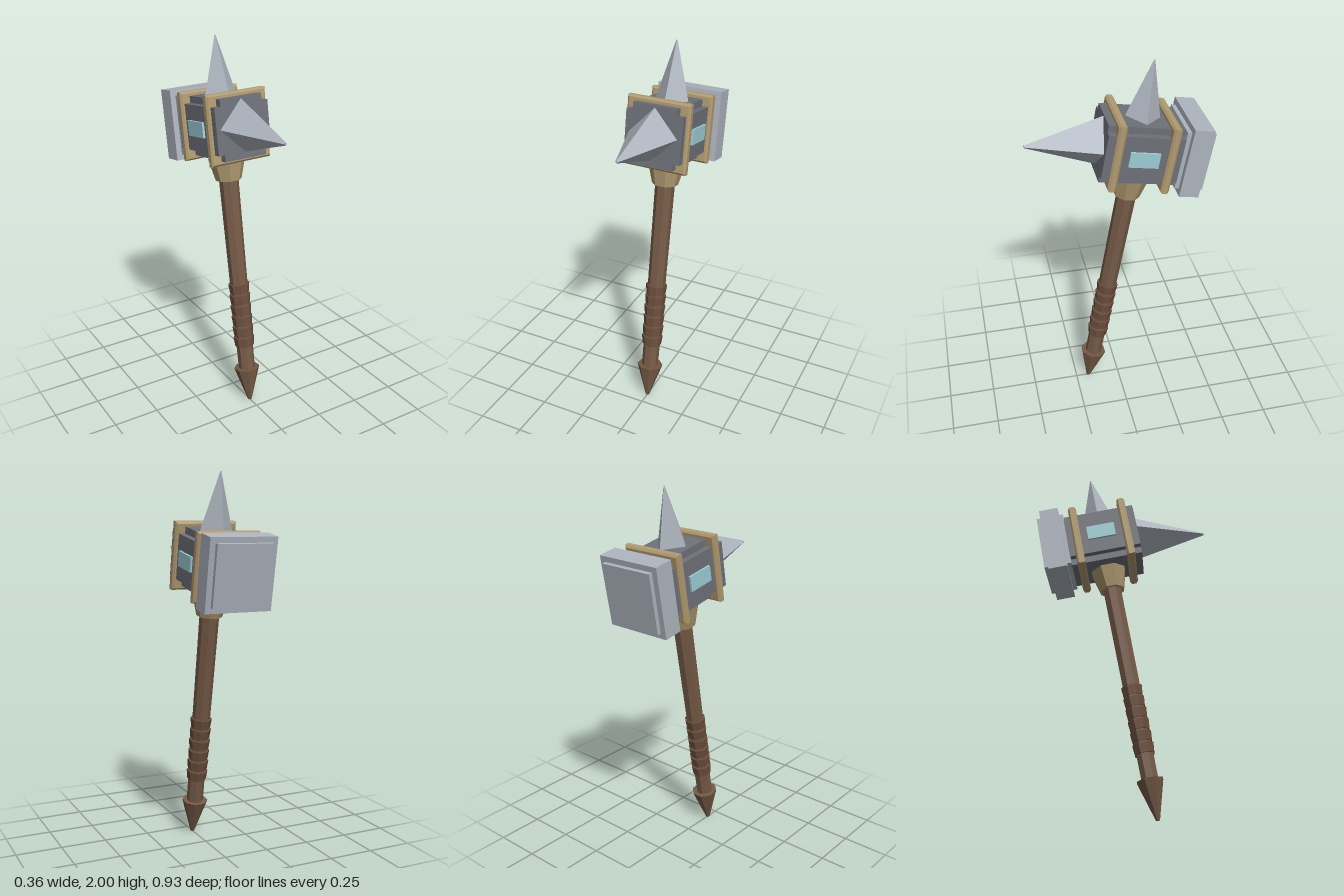
import * as THREE from 'three';

const mat = (name, color) => {
  const m = new THREE.MeshStandardMaterial({ color });
  m.name = name;
  return m;
};

export function createModel() {
  const wood = mat('wood', 0x755a46);
  const leather = mat('leather', 0x6c4f3d);
  const brass = mat('brass', 0xb09a70);
  const iron = mat('dark iron', 0x6e7079);
  const steel = mat('steel', 0xadb4be);
  const gem = mat('pale blue inlay', 0x9cccd4);

  const hammer = new THREE.Group();
  hammer.name = 'warHammer';

  // Faceted part helper
  const add = (name, geometry, material, x = 0, y = 0, z = 0) => {
    const geo = geometry.index ? geometry.toNonIndexed() : geometry;
    geo.computeVertexNormals();
    const mesh = new THREE.Mesh(geo, material);
    mesh.name = name;
    mesh.position.set(x, y, z);
    hammer.add(mesh);
    return mesh;
  };

  // Eight-sided tapered section with flats facing front, given by half-widths
  const octagon = (name, material, bottom, top, y0, y1) => {
    const k = 1 / Math.cos(Math.PI / 8);
    const geo = new THREE.CylinderGeometry(top * k, bottom * k, y1 - y0, 8);
    geo.rotateY(Math.PI / 8);
    return add(name, geo, material, 0, (y0 + y1) / 2, 0);
  };

  const block = (name, material, halfX, halfY, z0, z1) =>
    add(name, new THREE.BoxGeometry(halfX * 2, halfY * 2, z1 - z0), material, 0, headY, (z0 + z1) / 2);

  const headY = 1.578;

  // Handle
  octagon('pommel', wood, 0.01, 0.066, 0, 0.2);
  octagon('shaft', wood, 0.042, 0.049, 0.19, 1.42);
  for (let i = 0; i < 6; i++) {
    const y = 0.335 + i * 0.063;
    octagon('gripRing', leather, 0.049, 0.054, y, y + 0.052);
  }
  octagon('collar', brass, 0.064, 0.092, 1.285, 1.405);

  // Head core with notched corners
  block('headCoreWide', iron, 0.154, 0.12, -0.192, 0.198);
  block('headCoreTall', iron, 0.12, 0.156, -0.192, 0.198);

  // Bevelled brass bands
  const bevel = 0.01, bx = 0.173 - bevel, by = 0.18 - bevel;
  const outline = new THREE.Shape([
    new THREE.Vector2(-bx, -by), new THREE.Vector2(bx, -by),
    new THREE.Vector2(bx, by), new THREE.Vector2(-bx, by),
  ]);
  const bandGeo = new THREE.ExtrudeGeometry(outline, {
    depth: 0.025, bevelEnabled: true, bevelSegments: 1, bevelSize: bevel, bevelThickness: bevel,
  });
  bandGeo.translate(0, 0, -0.0125);
  add('frontBand', bandGeo, brass, 0, headY, 0.137);
  add('backBand', bandGeo, brass, 0, headY, -0.137);

  // Striking face
  block('strikingBlock', steel, 0.152, 0.158, -0.339, -0.19);
  block('strikingRim', steel, 0.182, 0.187, -0.317, -0.213);

  // Side inlays
  for (const [side, name] of [[1, 'leftInlay'], [-1, 'rightInlay']]) {
    add(name, new THREE.BoxGeometry(0.024, 0.08, 0.153), gem, side * 0.154, headY, 0);
  }

  // Four-sided spikes
  add('topSpike', new THREE.CylinderGeometry(0.003, 0.092, 0.302, 4), steel, 0, 1.88, 0);
  const front = add('frontSpike', new THREE.CylinderGeometry(0.007, 0.141, 0.398, 4), steel, 0, 1.561, 0.369);
  front.rotation.x = Math.PI / 2 + 0.137;

  // Lean the whole hammer back
  hammer.rotation.x = -0.178;
  hammer.position.set(0, 0.002, 0.18);

  const model = new THREE.Group();
  model.name = 'model';
  model.add(hammer);
  return model;
}
